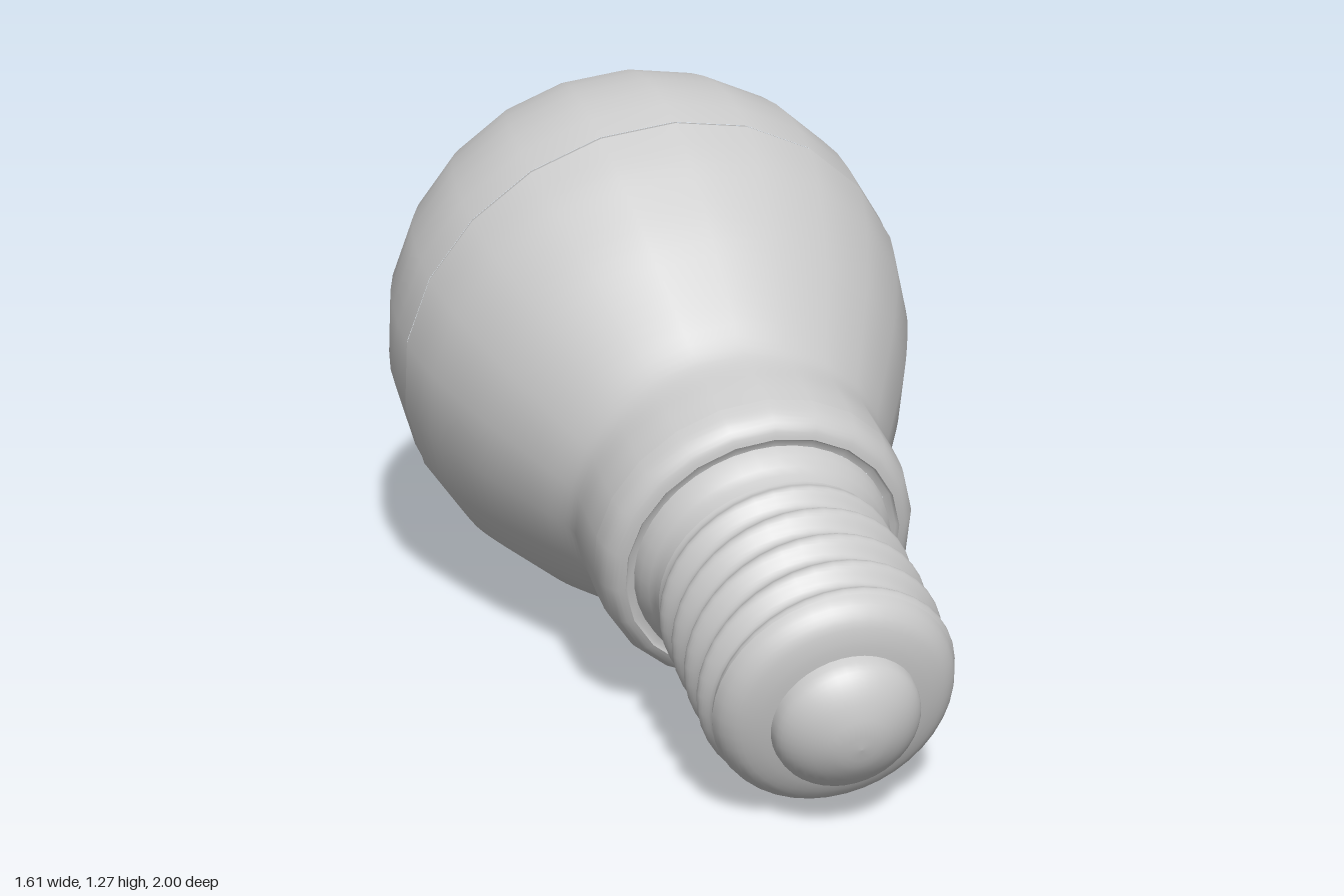
import * as THREE from 'three';
import { mergeVertices } from 'three/addons/utils/BufferGeometryUtils.js';

const SIDES = 22;
const material = new THREE.MeshStandardMaterial({ color: 0xcccccc });

// Turn a profile of [radius, distance along the bulb axis] pairs
function turned(name, profile, sides = SIDES) {
  const points = profile.map(([r, t]) => new THREE.Vector2(r, t));
  const mesh = new THREE.Mesh(new THREE.LatheGeometry(points, sides), material);
  mesh.name = name;
  return mesh;
}

// Smooth profile through a few points
function smooth(profile, divisions) {
  const curve = new THREE.SplineCurve(profile.map(([r, t]) => new THREE.Vector2(r, t)));
  return curve.getPoints(divisions).map((p) => [p.x, p.y]);
}

// Screw sleeve: a cylinder whose radius follows a fading helical wave
function threadedSleeve() {
  const start = 1.04, end = 1.44, pitch = 0.093, steps = 64;
  const profile = [];
  for (let i = 0; i <= steps; i++) profile.push([0.267, start + ((end - start) * i) / steps]);
  const mesh = turned('screwThread', profile, 40);
  const geo = mesh.geometry;
  const pos = geo.attributes.position;
  for (let i = 0; i < pos.count; i++) {
    const x = pos.getX(i), t = pos.getY(i), z = pos.getZ(i);
    const fade = Math.min(1, (t - start) / 0.04, (end - t) / 0.03);
    const wave = Math.cos((2 * Math.PI * (t - 1.117)) / pitch - Math.atan2(x, z));
    const k = 1 + 0.05 * Math.max(0, fade) * wave;
    pos.setXYZ(i, x * k, t, z * k);
  }
  geo.deleteAttribute('uv');
  geo.deleteAttribute('normal');
  mesh.geometry = mergeVertices(geo, 1e-5);
  mesh.geometry.computeVertexNormals();
  return mesh;
}

export function createModel() {
  const model = new THREE.Group();
  model.name = 'lightBulb';

  // Spherical diffuser, open where it meets the housing
  const globe = [];
  const R = 0.632, rim = Math.asin(0.09 / R);
  for (let i = 0; i <= 14; i++) {
    const a = -Math.PI / 2 + ((rim + Math.PI / 2) * i) / 14;
    globe.push([i === 0 ? 0 : R * Math.cos(a), R * Math.sin(a)]);
  }
  model.add(turned('globe', globe));

  // Thin groove between globe and housing
  model.add(turned('seamGroove', [[0.625, 0.09], [0.612, 0.092], [0.612, 0.1], [0.628, 0.1]]));

  // Tapering housing that runs into a straight collar
  model.add(turned('housing', smooth([
    [0.628, 0.1], [0.606, 0.2], [0.57, 0.3], [0.528, 0.4], [0.477, 0.5],
    [0.424, 0.6], [0.385, 0.67], [0.37, 0.72], [0.37, 0.8], [0.368, 0.87],
  ], 27)));

  // Rounded end of the collar with the step down to the screw base
  model.add(turned('collarLip', smooth([
    [0.368, 0.87], [0.361, 0.91], [0.342, 0.94], [0.318, 0.952],
  ], 9)));
  model.add(turned('collarStep', [[0.318, 0.952], [0.312, 0.945], [0.296, 0.945]]));
  model.add(turned('screwNeck', [[0.296, 0.945], [0.29, 0.975], [0.276, 0.995], [0.268, 1.015], [0.267, 1.04]], 40));

  model.add(threadedSleeve());

  // Rounded end of the screw and the contact button
  model.add(turned('screwEnd', smooth([
    [0.267, 1.44], [0.257, 1.465], [0.232, 1.49], [0.195, 1.505], [0.162, 1.512],
  ], 12), 40));
  model.add(turned('contactButton', smooth([
    [0.162, 1.512], [0.157, 1.54], [0.136, 1.567], [0.1, 1.592], [0.05, 1.612], [0, 1.618],
  ], 15), 40));

  // Lay the bulb down with its base pointing forward, right and slightly down
  const axis = new THREE.Vector3(-0.515, -0.25, 0.82).normalize();
  const side = new THREE.Vector3(axis.z, 0, -axis.x).normalize();
  const up = new THREE.Vector3().crossVectors(side, axis);
  model.quaternion.setFromRotationMatrix(new THREE.Matrix4().makeBasis(side, axis, up));
  model.position.set(0.17, 0.63, -0.37);

  const root = new THREE.Group();
  root.name = 'bulb';
  root.add(model);
  return root;
}
